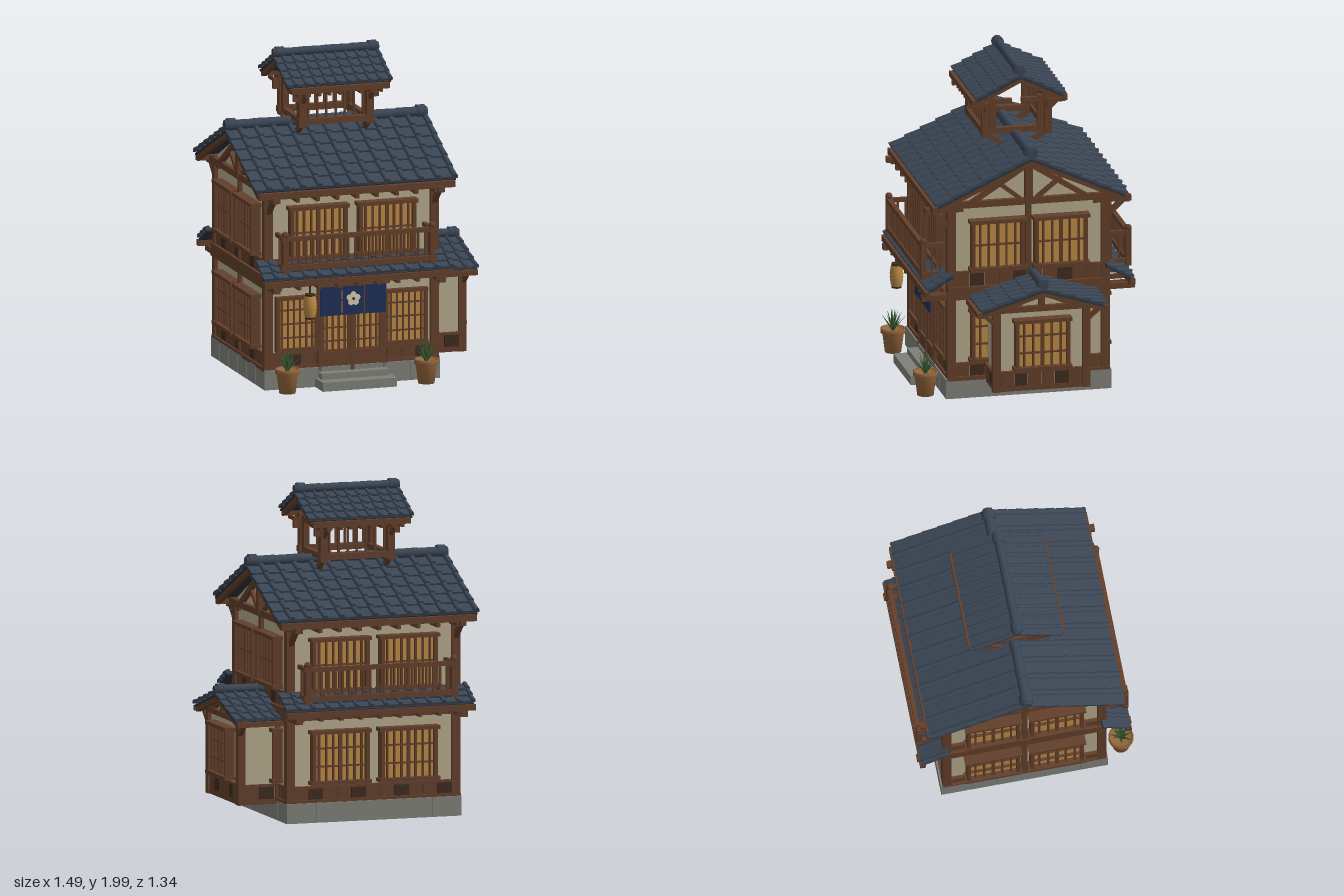
import * as THREE from 'three';
import { mergeGeometries } from 'three/addons/utils/BufferGeometryUtils.js';

const WOOD = 0x633f2b, DARK = 0x3f2c20, TILE = 0x3a4554, PLASTER = 0xb5a98c, AMBER = 0xbb8a45,
  STONE = 0x80807a, NAVY = 0x1f2f57, CLAY = 0x94663b, LEAF = 0x3a5a32, CREAM = 0xd8ccb0;
const V = (x, y, z) => new THREE.Vector3(x, y, z);

// Box given by its extents
const B = (x0, x1, y0, y1, z0, z1) =>
  new THREE.BoxGeometry(Math.abs(x1 - x0), Math.abs(y1 - y0), Math.abs(z1 - z0))
    .translate((x0 + x1) / 2, (y0 + y1) / 2, (z0 + z1) / 2);

// Square bar between two points
function bar(p, q, w, h = w) {
  const m = new THREE.Matrix4().lookAt(p, q, V(0, 1, 0)).setPosition(p.clone().add(q).multiplyScalar(0.5));
  return new THREE.BoxGeometry(w, h, p.distanceTo(q)).applyMatrix4(m);
}

function part(parent, name, color, geos) {
  const geo = mergeGeometries(geos.map(g => (g.index ? g.toNonIndexed() : g)));
  const m = new THREE.Mesh(geo, new THREE.MeshStandardMaterial({ color, side: THREE.DoubleSide }));
  m.name = name;
  parent.add(m);
  return m;
}

function group(parent, name, x = 0, y = 0, z = 0, ry = 0) {
  const g = new THREE.Group();
  g.name = name;
  g.position.set(x, y, z);
  g.rotation.y = ry;
  parent.add(g);
  return g;
}

// Overlapping tiles with a round roll, laid from (z0,y0) down to (z1,y1)
function tileSlope(L, z0, y0, z1, y1, cols, rows, r, side) {
  const w = 2 * L / cols, len = Math.hypot(z1 - z0, y1 - y0), step = len / rows, t = 0.012, out = [];
  const s = new THREE.Shape().moveTo(-w / 2, 0).lineTo(w / 2, 0).lineTo(w / 2, t);
  s.absarc(w / 2 - r, t, r, 0, Math.PI).lineTo(-w / 2, t);
  const tile = new THREE.ExtrudeGeometry(s, { depth: step * 1.12, bevelEnabled: false, curveSegments: 5 })
    .rotateX(-Math.atan2(t, step));
  for (let i = 0; i < cols; i++) for (let j = 0; j < rows; j++)
    out.push(tile.clone().translate(-L + w * (i + 0.5), 0, step * j)
      .rotateX(Math.atan2(y0 - y1, z1 - z0)).translate(0, y0, z0).rotateY(side > 0 ? 0 : Math.PI));
  return out;
}

// Gable roof with ridge along x
function gableRoof(parent, name, L, ridgeY, eaveZ, eaveY, cols, rows, roll, ridgeR) {
  const g = group(parent, name), tiles = [], deck = [], wood = [], ridge = [];
  for (const s of [1, -1]) {
    tiles.push(...tileSlope(L, 0, ridgeY, eaveZ, eaveY, cols, rows, roll, s));
    const line = (x, dy, w, h) => bar(V(x, ridgeY - dy, 0), V(x, eaveY - dy, s * eaveZ), w, h);
    deck.push(line(0, 0.004, 2 * L - 0.01, 0.012));
    for (const e of [1, -1]) wood.push(line(e * (L - 0.03), 0.024, 0.03, 0.03));
    ridge.push(new THREE.CylinderGeometry(ridgeR * 1.25, ridgeR * 1.25, 0.05, 12)
      .rotateZ(Math.PI / 2).translate(s * (L - 0.04), ridgeY + 0.032, 0));
  }
  const n = Math.max(3, Math.round(L * 11)), step = 2 * L / n;
  for (let i = 0; i < n; i++)
    ridge.push(new THREE.CylinderGeometry(ridgeR, ridgeR * 0.9, step, 12).rotateZ(Math.PI / 2)
      .translate(-L + step * (i + 0.5), ridgeY + 0.03, 0));
  part(g, 'roofTiles', TILE, tiles);
  part(g, 'roofDeck', 0x2c333d, deck);
  part(g, 'vergeRafters', WOOD, wood);
  part(g, 'ridgeTiles', TILE, ridge);
}

// Lattice window facing +z, its back on the local z = 0 plane
function latticeWindow(parent, x, y0, y1, z, ry, w, cols, rows, depth = 0.06, horn = 0.012) {
  const g = group(parent, 'latticeWindow', x, 0, z, ry), h = w / 2, f = 0.022, wood = [], d = depth;
  for (const s of [1, -1]) wood.push(B(s * h, s * (h - f), y0, y1, 0, d));
  for (const y of [y0, y1 - f]) wood.push(B(-h - horn, h + horn, y, y + f, 0, d + 0.008));
  for (let i = 1; i < cols; i++) {
    const c = -h + w * i / cols, t = i * 2 === cols ? 0.01 : 0.0055;
    wood.push(B(c - t, c + t, y0, y1, 0, d * 0.8));
  }
  for (let i = 1; i < rows; i++) {
    const c = y0 + (y1 - y0) * i / rows;
    wood.push(B(-h, h, c - 0.005, c + 0.005, 0, d * 0.75));
  }
  part(g, 'windowFrame', WOOD, wood);
  part(g, 'paperPane', AMBER, [B(-h + 0.01, h - 0.01, y0 + 0.01, y1 - 0.01, 0, d * 0.5)]);
}

// Boards along the foot of a wall
function wainscot(parent, half, y0, y1, dist, ry) {
  const g = group(parent, 'wainscot', 0, 0, 0, ry), n = Math.round(half * 22), w = 2 * half / n, sets = [[], []];
  for (let i = 0; i < n; i++)
    sets[i % 3 === 1 ? 1 : 0].push(B(-half + w * i + 0.002, -half + w * (i + 1) - 0.002, y0, y1, dist - 0.02, dist + 0.012));
  part(g, 'boards', WOOD, sets[0]);
  part(g, 'darkBoards', DARK, sets[1]);
  part(g, 'boardRail', WOOD, [B(-half, half, y1 - 0.005, y1 + 0.01, dist - 0.02, dist + 0.02)]);
}

// Plaster wall block with a gable, ridge along x
function gableWalls(parent, x0, x1, y0, half, eave, peak) {
  const s = new THREE.Shape([[-half, y0], [half, y0], [half, eave], [0, peak], [-half, eave]].map(p => new THREE.Vector2(...p)));
  part(parent, 'plasterWalls', PLASTER, [new THREE.ExtrudeGeometry(s, { depth: x1 - x0, bevelEnabled: false })
    .rotateY(Math.PI / 2).translate(x0, 0, 0)]);
}

function buildHouse(root) {
  const g = group(root, 'mainHouse', -0.105, 0, -0.02);
  // Stone base of blocks
  const blocks = [B(-0.55, 0.55, 0, 0.115, -0.505, 0.505)];
  for (const s of [1, -1]) {
    for (let i = 0; i < 6; i++) blocks.push(B(-0.555 + i * 0.185, -0.373 + i * 0.185, 0, 0.12, s * 0.4, s * 0.51));
    for (let i = 0; i < 6; i++) blocks.push(B(s * 0.45, s * 0.555, 0, 0.12, -0.51 + i * 0.17, -0.343 + i * 0.17));
  }
  part(g, 'stoneBase', STONE, blocks);
  gableWalls(g, -0.53, 0.53, 0.12, 0.475, 1.24, 1.475);

  // Posts, beams, gable truss
  const f = [];
  for (const sx of [1, -1]) {
    for (const sz of [1, -1]) {
      f.push(B(sx * 0.5, sx * 0.552, 0.11, 1.24, sz * 0.448, sz * 0.5));
      f.push(bar(V(sx * 0.525, 1.08, sz * 0.48), V(sx * 0.525, 1.19, sz * 0.6), 0.03));
      f.push(B(sx * 0.505, sx * 0.545, 1.17, 1.205, sz * 0.4, sz * 0.635));
      f.push(bar(V(sx * 0.545, 1.22, sz * 0.36), V(sx * 0.545, 1.43, sz * 0.03), 0.03));
      f.push(bar(V(sx * 0.54, 1.23, sz * 0.05), V(sx * 0.54, 1.35, sz * 0.2), 0.025));
      f.push(B(sx * 0.505, sx * 0.545, 0.62, 0.655, sz * 0.4, sz * 0.655));
    }
    f.push(B(sx * 0.5, sx * 0.56, 1.195, 1.235, -0.53, 0.53), B(sx * 0.5, sx * 0.56, 0.62, 0.7, -0.5, 0.5));
    f.push(B(sx * 0.5, sx * 0.555, 0.11, 0.135, -0.5, 0.5), B(sx * 0.5, sx * 0.565, 1.2, 1.48, -0.024, 0.024));
    f.push(B(sx * 0.5, sx * 0.552, 0.12, 1.2, -0.018, 0.018));
  }
  for (const s of [1, -1]) {
    f.push(B(-0.55, 0.55, 0.62, 0.66, s * 0.44, s * 0.505), B(-0.55, 0.55, 1.18, 1.23, s * 0.44, s * 0.495));
    f.push(B(-0.55, 0.55, 0.115, 0.138, s * 0.44, s * 0.5));
    f.push(B(-0.62, 0.62, 1.19, 1.23, s * 0.57, s * 0.605), B(-0.6, 0.6, 0.655, 0.692, s * 0.612, s * 0.647));
    for (let i = -4; i <= 4; i++) {
      f.push(B(i * 0.125 - 0.011, i * 0.125 + 0.011, 1.165, 1.195, s * 0.46, s * 0.61));
      f.push(B(i * 0.125 - 0.011, i * 0.125 + 0.011, 0.632, 0.66, s * 0.46, s * 0.64));
    }
  }
  part(g, 'timberFrame', WOOD, f);
  for (const [ry, half, d] of [[0, 0.5, 0.475], [Math.PI, 0.5, 0.475], [Math.PI / 2, 0.45, 0.53], [-Math.PI / 2, 0.45, 0.53]]) {
    wainscot(g, half, 0.135, 0.21, d, ry);
    wainscot(g, half, 0.7, 0.785, d, ry);
  }

  // Windows
  for (const s of [1, -1]) {
    for (const [y0, y1, rows] of [[0.8, 1.12, 2], [0.23, 0.56, 3]])
      for (const z of [0.195, -0.195]) latticeWindow(g, s * 0.53, y0, y1, z, s * Math.PI / 2, 0.325, 6, rows);
    latticeWindow(g, s * 0.217, 0.79, 1.12, 0.475, 0, 0.36, 8, 2);
    latticeWindow(g, s * 0.217, 0.79, 1.12, -0.475, Math.PI, 0.36, 8, 2);
    latticeWindow(g, s * 0.217, 0.23, 0.56, -0.475, Math.PI, 0.36, 8, 3);
    latticeWindow(g, s * 0.345, 0.225, 0.565, 0.475, 0, 0.27, 7, 4, 0.03, 0);
    latticeWindow(g, s * 0.1, 0.19, 0.6, 0.475, 0, 0.19, 5, 5, 0.028, 0);
  }
  const door = [B(-0.012, 0.012, 0.09, 0.6, 0.47, 0.512)];
  for (const s of [1, -1]) door.push(B(s * 0.005, s * 0.2, 0.09, 0.195, 0.46, 0.503), B(s * 0.195, s * 0.215, 0.09, 0.62, 0.46, 0.51));
  part(g, 'entranceDoors', WOOD, door);
  part(g, 'entranceSteps', STONE, [B(-0.235, 0.235, 0, 0.055, 0.48, 0.655), B(-0.215, 0.215, 0, 0.092, 0.48, 0.575)]);

  // Door curtain with a blossom pattern
  part(g, 'doorCurtain', NAVY, [-1, 0, 1].map(i => B(i * 0.141 - 0.067, i * 0.141 + 0.067, 0.435, 0.615, 0.524, 0.53)));
  part(g, 'curtainRod', WOOD, [B(-0.23, 0.23, 0.612, 0.626, 0.505, 0.532)]);
  const disc = (r, x, y, z) => new THREE.CylinderGeometry(r, r, 0.003, 14).rotateX(Math.PI / 2).translate(x, y, z);
  part(g, 'blossomPattern', CREAM, [0, 1, 2, 3, 4].map(i =>
    disc(0.019, 0.026 * Math.sin(i * Math.PI * 0.4), 0.532 + 0.026 * Math.cos(i * Math.PI * 0.4), 0.532)));
  part(g, 'blossomCentre', NAVY, [disc(0.009, 0, 0.532, 0.535)]);

  // Lower eaves and balconies, front and back
  const skirt = [], decks = [], rail = [];
  for (const s of [1, -1]) {
    skirt.push(...tileSlope(0.6, 0.47, 0.785, 0.625, 0.695, 13, 3, 0.014, s));
    decks.push(bar(V(0, 0.78, s * 0.47), V(0, 0.69, s * 0.625), 1.19, 0.012));
    rail.push(B(-0.49, 0.49, 0.935, 0.962, s * 0.617, s * 0.645), B(-0.49, 0.49, 0.755, 0.788, s * 0.617, s * 0.645));
    for (let i = 1; i < 21; i++) rail.push(B(-0.465 + i * 0.0443 - 0.006, -0.465 + i * 0.0443 + 0.006, 0.78, 0.94, s * 0.625, s * 0.637));
    for (const e of [1, -1]) {
      rail.push(B(e * 0.448, e * 0.482, 0.74, 0.975, s * 0.614, s * 0.648));
      rail.push(new THREE.SphereGeometry(0.022, 12, 8).translate(e * 0.465, 0.975, s * 0.631));
      for (const y of [0.935, 0.76]) rail.push(B(e * 0.453, e * 0.477, y, y + 0.026, s * 0.47, s * 0.62));
      for (const z of [0.52, 0.57]) rail.push(B(e * 0.459, e * 0.471, 0.78, 0.94, s * z, s * (z + 0.012)));
    }
  }
  part(g, 'lowerEaveTiles', TILE, skirt);
  part(g, 'lowerEaveDeck', 0x2c333d, decks);
  part(g, 'balconies', WOOD, rail);
  gableRoof(g, 'mainRoof', 0.64, 1.5, 0.575, 1.235, 12, 6, 0.018, 0.033);

  // Open roof lantern
  const c = group(g, 'roofVent'), w = [];
  for (const s of [1, -1]) {
    for (const e of [1, -1]) {
      w.push(B(e * 0.19, e * 0.235, 1.53, 1.78, s * 0.172, s * 0.215), B(e * 0.195, e * 0.225, 1.57, 1.77, s * 0.128, s * 0.168));
      w.push(B(e * 0.2, e * 0.225, 1.73, 1.76, s * 0.03, s * 0.3), bar(V(e * 0.212, 1.56, s * 0.2), V(e * 0.212, 1.47, s * 0.08), 0.03));
      w.push(bar(V(e * 0.212, 1.68, s * 0.2), V(e * 0.212, 1.75, s * 0.27), 0.022));
      w.push(B(e * 0.235, e * 0.27, 1.69, 1.755, s * 0.18, s * 0.205));
    }
    w.push(B(s * 0.19, s * 0.225, 1.545, 1.58, -0.215, 0.215));
    w.push(B(-0.24, 0.24, 1.545, 1.582, s * 0.172, s * 0.215), B(-0.24, 0.24, 1.735, 1.77, s * 0.172, s * 0.215));
    w.push(B(-0.31, 0.31, 1.755, 1.79, s * 0.265, s * 0.295));
    for (let i = -3; i <= 3; i++) w.push(B(i * 0.058 - 0.006, i * 0.058 + 0.006, 1.57, 1.75, s * 0.185, s * 0.198));
    for (let i = -4; i <= 4; i++) w.push(B(i * 0.065 - 0.008, i * 0.065 + 0.008, 1.735, 1.757, s * 0.19, s * 0.29));
  }
  part(c, 'ventFrame', WOOD, w);
  gableRoof(c, 'ventRoof', 0.333, 1.925, 0.265, 1.793, 10, 4, 0.012, 0.028);
}

function buildAnnex(root) {
  const g = group(root, 'sideAnnex', 0, 0, -0.045), f = [B(0.4, 0.685, 0.098, 0.13, -0.29, 0.29)];
  gableWalls(g, 0.4, 0.672, 0.12, 0.28, 0.615, 0.705);
  for (const s of [1, -1]) {
    f.push(B(0.65, 0.695, 0.098, 0.62, s * 0.252, s * 0.3), B(0.42, 0.455, 0.12, 0.62, s * 0.26, s * 0.295));
    f.push(B(0.42, 0.735, 0.585, 0.615, s * 0.375, s * 0.405), B(0.42, 0.69, 0.57, 0.605, s * 0.26, s * 0.295));
    f.push(bar(V(0.68, 0.53, s * 0.29), V(0.68, 0.6, s * 0.37), 0.025));
    f.push(bar(V(0.68, 0.61, s * 0.22), V(0.68, 0.7, s * 0.02), 0.025));
    const w = group(g, 'annexSide', 0.56, 0, 0);
    wainscot(w, 0.1, 0.13, 0.21, 0.28, s > 0 ? 0 : Math.PI);
  }
  f.push(B(0.66, 0.7, 0.595, 0.63, -0.38, 0.38), B(0.66, 0.7, 0.62, 0.72, -0.018, 0.018));
  part(g, 'annexFrame', WOOD, f);
  wainscot(g, 0.25, 0.13, 0.215, 0.672, Math.PI / 2);
  latticeWindow(g, 0.672, 0.235, 0.555, 0, Math.PI / 2, 0.335, 6, 3);
  const r = group(g, 'annexRoofPlace', 0.5725);
  gableRoof(r, 'annexRoof', 0.1725, 0.735, 0.375, 0.618, 5, 4, 0.013, 0.028);
}

const lathe = pts => new THREE.LatheGeometry(pts.map(p => new THREE.Vector2(...p)), 18);

function buildExtras(root) {
  // Potted plants
  for (const x of [-0.55, 0.33]) {
    const g = group(root, 'pottedPlant', x, 0, 0.59), leaves = [];
    part(g, 'pot', CLAY, [lathe([[0, 0], [0.05, 0], [0.066, 0.12], [0.076, 0.122], [0.076, 0.148], [0.065, 0.148], [0.062, 0.13], [0, 0.13]])]);
    for (let i = 0; i < 20; i++) {
      const tilt = 0.1 + 0.75 * (i / 20), len = 0.14 - 0.03 * (i / 20);
      leaves.push(new THREE.ConeGeometry(0.012, len, 4).scale(1, 1, 0.4).translate(0, len / 2, 0)
        .rotateX(tilt).rotateY(i * 2.4).translate(0, 0.135, 0));
    }
    part(g, 'leaves', LEAF, leaves);
  }
  // Hanging paper lantern
  const l = group(root, 'hangingLantern', -0.41, 0, 0.6), pts = [];
  for (let i = 0; i <= 12; i++) pts.push([0.032 + 0.008 * Math.sin(Math.PI * i / 12) + (i % 2 ? 0.002 : 0), 0.46 + i * 0.0108]);
  part(l, 'lanternBody', AMBER, [lathe(pts)]);
  part(l, 'lanternCaps', DARK, [0.455, 0.594].map(y => new THREE.CylinderGeometry(0.031, 0.031, 0.014, 16).translate(0, y, 0)));
  part(l, 'lanternHanger', DARK, [B(-0.004, 0.004, 0.59, 0.66, -0.004, 0.004)]);
}

export function createModel() {
  const root = new THREE.Group();
  root.name = 'townhouse';
  buildHouse(root);
  buildAnnex(root);
  buildExtras(root);
  return root;
}
